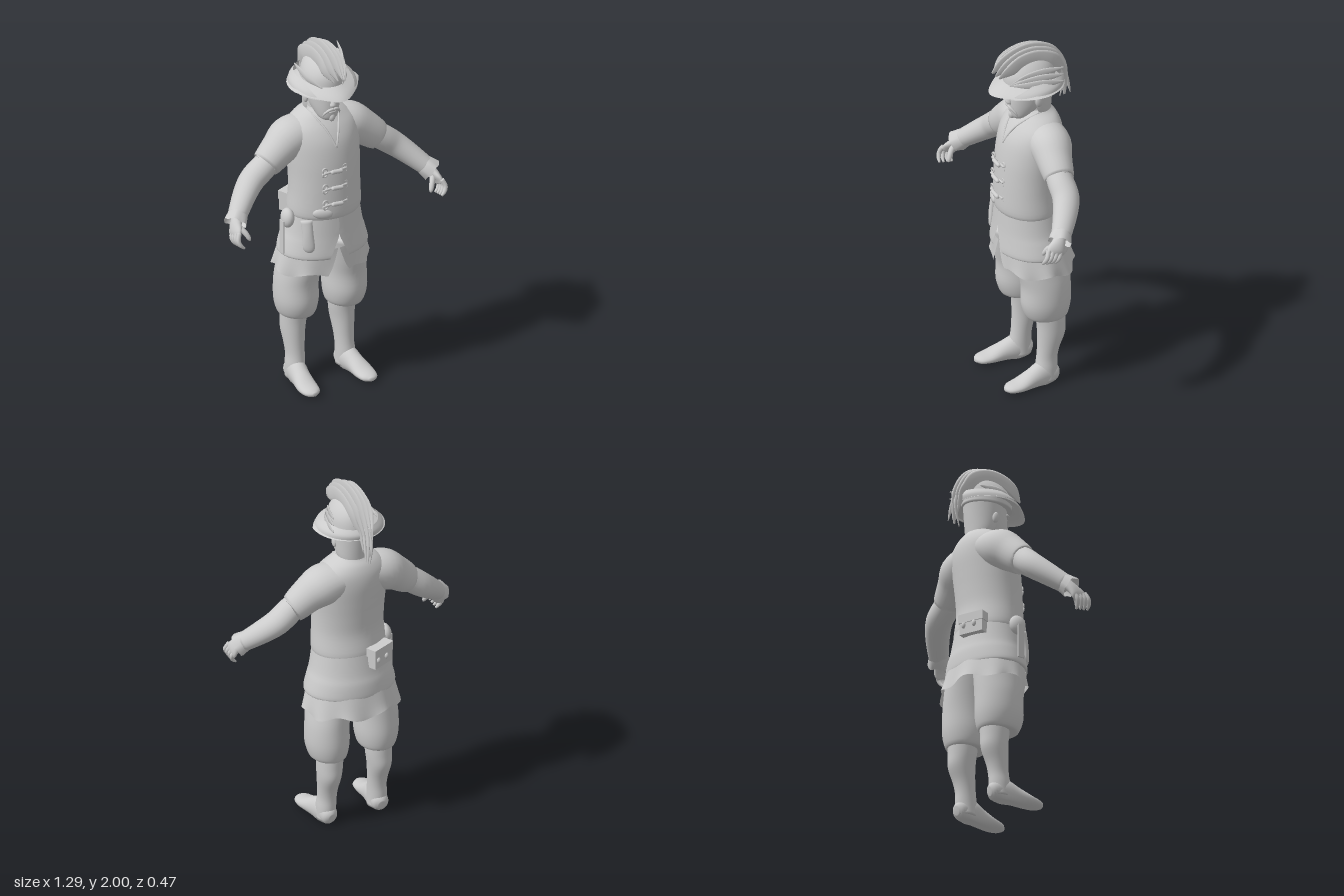
import * as THREE from 'three';
import { mergeVertices } from 'three/addons/utils/BufferGeometryUtils.js';

const clay = new THREE.MeshStandardMaterial({ color: 0xcccccc, side: THREE.DoubleSide });
clay.name = 'clay grey';

// Catmull-Rom blend of every column between the given rows
function smooth(rows, n) {
  const out = [];
  for (let i = 0; i < rows.length - 1; i++) {
    const [a, b, c, d] = [rows[Math.max(i - 1, 0)], rows[i], rows[i + 1], rows[Math.min(i + 2, rows.length - 1)]];
    for (let k = 0; k < n; k++) {
      const t = k / n;
      out.push(b.map((_, j) => b[j] + 0.5 * t * (c[j] - a[j] + t * (2 * a[j] - 5 * b[j] + 4 * c[j] - d[j] + t * (3 * (b[j] - c[j]) + d[j] - a[j])))));
    }
  }
  out.push(rows[rows.length - 1]);
  return out;
}

// Skin through elliptical rings; row = [x, y, z, radiusU, radiusV, frontGapAngle]
function loft(rows, { upright = false, ref = [1, 0, 0], seg = 24, steps = 4, caps = true, rule = null } = {}) {
  const R = smooth(rows, steps), pos = [], idx = [], W = seg + 1;
  const at = i => new THREE.Vector3(...R[Math.min(Math.max(i, 0), R.length - 1)].slice(0, 3));
  R.forEach((r, i) => {
    const t = upright ? new THREE.Vector3(0, 1, 0) : at(i + 1).sub(at(i - 1)).normalize();
    const u = new THREE.Vector3(...ref);
    u.addScaledVector(t, -u.dot(t)).normalize();
    const v = new THREE.Vector3().crossVectors(u, t), gap = r[5] || 0;
    for (let j = 0; j <= seg; j++) {
      const a = Math.PI / 2 + gap + (j / seg) * (2 * Math.PI - 2 * gap);
      const p = at(i).addScaledVector(u, r[3] * Math.cos(a)).addScaledVector(v, r[4] * Math.sin(a));
      if (rule) rule(p, a, i / (R.length - 1));
      pos.push(p.x, p.y, p.z);
    }
  });
  for (let i = 0; i < R.length - 1; i++) for (let j = 0; j < seg; j++) {
    const a = i * W + j, b = a + W;
    idx.push(a, b, a + 1, a + 1, b, b + 1);
  }
  if (caps) [0, R.length - 1].forEach((i, end) => {
    const c = pos.length / 3;
    pos.push(...R[i].slice(0, 3));
    for (let j = 0; j < seg; j++) end ? idx.push(c, i * W + j + 1, i * W + j) : idx.push(c, j, j + 1);
  });
  let g = new THREE.BufferGeometry();
  g.setAttribute('position', new THREE.Float32BufferAttribute(pos, 3));
  g.setIndex(idx);
  g = mergeVertices(g, 1e-5);
  g.computeVertexNormals();
  return g;
}

export function createModel() {
  const model = new THREE.Group();
  const add = (name, geo, p = [0, 0, 0], r = [0, 0, 0], s = [1, 1, 1]) => {
    const m = new THREE.Mesh(geo, clay);
    m.name = name;
    m.position.set(...p); m.rotation.set(...r); m.scale.set(...s);
    model.add(m);
    return m;
  };
  const ball = new THREE.SphereGeometry(1, 20, 14);
  const up = { upright: true, seg: 40 };

  // Jacket body, flared skirt with a front slit, and the shirt hem below it
  add('jacketBody', loft([[0, 1.01, 0.015, 0.195, 0.16], [0, 1.04, 0.018, 0.206, 0.174], [0, 1.15, 0.025, 0.2, 0.166],
    [0, 1.25, 0.02, 0.2, 0.166], [0, 1.35, 0.01, 0.205, 0.166], [0, 1.45, -0.005, 0.208, 0.16], [0, 1.52, -0.02, 0.2, 0.14],
    [0, 1.57, -0.03, 0.15, 0.112], [0, 1.6, -0.03, 0.1, 0.088], [0, 1.615, -0.03, 0.082, 0.078]], up));
  add('jacketSkirt', loft([[0, 0.785, 0.003, 0.245, 0.19, 0.23], [0, 0.8, 0.003, 0.256, 0.198, 0.21], [0, 0.87, 0.003, 0.238, 0.192, 0.09],
    [0, 0.93, 0.008, 0.219, 0.182, 0], [0, 1.05, 0.015, 0.198, 0.168, 0]], { ...up, caps: false }));
  add('shirtHem', loft([[0, 0.69, -0.015, 0.27, 0.21, 0.25], [0, 0.74, -0.01, 0.26, 0.2, 0.15], [0, 0.84, 0, 0.235, 0.185, 0.02]],
    { ...up, seg: 64, caps: false, rule: (p, a, t) => {
      const k = 1 + 0.035 * (1 - t) * Math.sin(9 * a);
      p.x *= k; p.z *= k; p.y += 0.014 * (1 - t) * Math.sin(6 * a + 1);
    } }));

  for (const s of [1, -1]) {
    const side = s > 0 ? 'left' : 'right';
    const m = rows => rows.map(([x, ...rest]) => [x * s, ...rest]);
    const along = { ref: [0, 0, 1] };

    // Breeches, boots and feet
    add(side + 'Breeches', loft(m([[0.145, 0.405, -0.03, 0.07, 0.085], [0.145, 0.412, -0.025, 0.098, 0.115], [0.147, 0.49, -0.02, 0.116, 0.137],
      [0.146, 0.6, -0.02, 0.115, 0.138], [0.135, 0.7, -0.01, 0.112, 0.148], [0.115, 0.84, 0, 0.112, 0.155]]), up));
    add(side + 'Boot', loft(m([[0.153, 0.02, -0.02, 0.053, 0.06], [0.153, 0.09, -0.02, 0.053, 0.062], [0.15, 0.15, -0.025, 0.051, 0.058],
      [0.15, 0.21, -0.034, 0.055, 0.062], [0.15, 0.29, -0.05, 0.064, 0.077], [0.147, 0.36, -0.05, 0.07, 0.08], [0.145, 0.43, -0.045, 0.072, 0.086]]), up));
    add(side + 'Foot', loft(m([[0.15, 0.04, -0.086, 0.02, 0.025], [0.152, 0.045, -0.065, 0.045, 0.05], [0.156, 0.055, 0.0, 0.053, 0.075],
      [0.165, 0.045, 0.07, 0.052, 0.055], [0.173, 0.03, 0.15, 0.057, 0.033], [0.174, 0.025, 0.21, 0.045, 0.022], [0.172, 0.025, 0.237, 0.014, 0.01]]),
      { rule: p => { p.y = Math.max(p.y, 0); } }));

    // Sleeve, forearm and flared cuff
    add(side + 'Sleeve', loft(m([[0.08, 1.485, -0.035, 0.11, 0.09], [0.18, 1.455, -0.03, 0.115, 0.112], [0.26, 1.405, -0.015, 0.096, 0.096],
      [0.335, 1.345, -0.005, 0.08, 0.081], [0.33, 1.35, -0.005, 0.066, 0.066]]), along));
    add(side + 'Forearm', loft(m([[0.28, 1.39, -0.005, 0.065, 0.065], [0.36, 1.33, 0, 0.072, 0.07], [0.43, 1.275, 0.005, 0.073, 0.067],
      [0.5, 1.215, 0.045, 0.066, 0.06], [0.58, 1.14, 0.11, 0.053, 0.05]]), along));
    add(side + 'Cuff', loft(m([[0.56, 1.16, 0.095, 0.05, 0.05], [0.58, 1.14, 0.112, 0.058, 0.055], [0.6, 1.12, 0.128, 0.064, 0.058]]),
      { ...along, caps: false, rule: (p, a, t) => { p.y += 0.006 * t * Math.sin(5 * a); } }));

    // Hand with curled fingers
    add(side + 'Palm', loft(m([[0.58, 1.14, 0.115, 0.03, 0.03], [0.6, 1.115, 0.135, 0.038, 0.026], [0.615, 1.085, 0.158, 0.05, 0.02],
      [0.62, 1.06, 0.172, 0.045, 0.013]]), along));
    for (let i = 0; i < 4; i++) {
      const z = 0.13 + 0.024 * i, y = 0.004 * i;
      add(side + 'Finger' + (i + 1), loft(m([[0.616, 1.085 + y, z, 0.013, 0.013], [0.63, 1.05 + y, z + 0.014, 0.013, 0.013],
        [0.62, 1.022 + y, z + 0.024, 0.011, 0.011], [0.6, 1.003 + y, z + 0.028, 0.006, 0.006]]), { ...along, seg: 10 }));
    }
    add(side + 'Thumb', loft(m([[0.595, 1.11, 0.145, 0.016, 0.016], [0.57, 1.08, 0.18, 0.015, 0.015], [0.555, 1.05, 0.197, 0.012, 0.012],
      [0.55, 1.035, 0.2, 0.005, 0.005]]), { ...along, seg: 10 }));

    // Neckline trim, ear, brow, eye and moustache
    add(side + 'NecklineTrim', loft(m([[0.083, 1.612, -0.02, 0.006, 0.006], [0.072, 1.585, 0.047, 0.006, 0.006], [0.045, 1.54, 0.102, 0.006, 0.006],
      [0.022, 1.49, 0.136, 0.006, 0.006], [0, 1.43, 0.16, 0.006, 0.006]]), { seg: 8 }));
    add(side + 'Ear', ball, [0.096 * s, 1.685, -0.005], [0.2, 0, 0], [0.012, 0.032, 0.02]);
    add(side + 'Brow', ball, [0.036 * s, 1.737, 0.108], [0, 0.3 * s, 0.1 * s], [0.028, 0.009, 0.014]);
    add(side + 'Eye', ball, [0.035 * s, 1.715, 0.103], [0, 0, 0], [0.014, 0.009, 0.011]);
    add(side + 'Moustache', loft(m([[0.002, 1.65, 0.131, 0.007, 0.007], [0.025, 1.645, 0.126, 0.008, 0.007], [0.045, 1.62, 0.108, 0.006, 0.006],
      [0.05, 1.6, 0.098, 0.002, 0.002]]), { ...along, seg: 8 }));
  }

  // Head, neck, hair, nose and beard
  add('neck', loft([[0, 1.55, -0.04, 0.075, 0.072], [0, 1.66, -0.035, 0.07, 0.072]], up));
  add('head', loft([[0, 1.568, 0.065, 0.03, 0.03], [0, 1.585, 0.055, 0.052, 0.058], [0, 1.62, 0.035, 0.068, 0.086], [0, 1.67, 0.01, 0.082, 0.114],
    [0, 1.74, 0, 0.09, 0.121], [0, 1.82, -0.005, 0.088, 0.12], [0, 1.88, -0.005, 0.045, 0.06]], up));
  add('hair', loft([[0, 1.585, -0.045, 0.078, 0.068, 1.3], [0, 1.62, -0.03, 0.09, 0.086, 1.3], [0, 1.69, -0.015, 0.097, 0.108, 1.25],
    [0, 1.79, -0.01, 0.1, 0.122, 1.0]], { ...up, caps: false }));
  add('nose', loft([[0, 1.66, 0.115, 0.018, 0.012], [0, 1.672, 0.125, 0.02, 0.02], [0, 1.7, 0.12, 0.011, 0.018], [0, 1.735, 0.11, 0.008, 0.012]],
    { upright: true, seg: 12 }));
  add('mouth', ball, [0, 1.627, 0.117], [0, 0, 0], [0.022, 0.006, 0.008]);
  add('beard', ball, [0, 1.592, 0.107], [0, 0, 0], [0.018, 0.026, 0.018]);

  // Hat: crown, pointed brim and turned-up back edge
  add('hatCrown', loft([[0, 1.765, 0.005, 0.115, 0.145], [0, 1.83, 0.005, 0.108, 0.142], [0, 1.88, 0, 0.085, 0.125], [0, 1.92, -0.005, 0.05, 0.085],
    [0, 1.935, -0.005, 0.015, 0.03]], up));
  add('hatBrim', loft([[0, 1.752, 0.02, 0.197, 0.205], [0, 1.764, 0.015, 0.17, 0.185], [0, 1.785, 0.005, 0.11, 0.14]],
    { ...up, caps: false, rule: (p, a, t) => {
      if (p.z > 0.05) p.x *= 1 - 1.8 * (p.z - 0.05);
      p.z += p.z > 0 ? 0.012 * (1 - t) * Math.pow(Math.max(Math.sin(a), 0), 6) : 0;
      p.y += 0.012 - 0.11 * Math.max(p.z - 0.05, 0) * (1 - t);
    } }));
  add('turnedUpBrim', loft([[0, 1.762, 0.01, 0.185, 0.19, 0.6], [0, 1.79, 0, 0.175, 0.185, 0.8], [0, 1.82, -0.005, 0.145, 0.165, 1.2]],
    { ...up, caps: false, rule: p => { p.y -= 0.1 * Math.max(p.z, 0); } }));

  // Crest of arching plumes with a drooping tail
  [-0.058, -0.03, 0, 0.028, 0.052].forEach((x, i) => {
    const d = Math.abs(i - 2) * 0.012, k = 1 - Math.abs(i - 2) * 0.06;
    add('crestPlume' + (i + 1), loft([[x * 0.6, 1.87 - d, 0.225 * k, 0.002, 0.006], [x, 1.915 - d, 0.16 * k, 0.005, 0.036], [x, 1.952 - d, 0.07, 0.006, 0.042],
      [x, 1.955 - d, -0.02, 0.006, 0.044], [x, 1.92 - d, -0.11, 0.006, 0.042], [x * 0.8, 1.84, -0.175 * k, 0.005, 0.034],
      [x * 0.6, 1.75 + d * 2, -0.203 * k, 0.004, 0.024], [x * 0.5, 1.63 + d * 3, -0.205, 0.002, 0.005]], { seg: 8 }));
  });
  for (let i = 0; i < 3; i++) add('tailStrand' + (i + 1), loft([[0.015 * (i - 1), 1.83, -0.18, 0.004, 0.015], [0.02 * (i - 1), 1.73, -0.212, 0.006, 0.012],
    [0.022 * (i - 1), 1.61 + 0.02 * i, -0.19 - 0.02 * i, 0.002, 0.003]], { seg: 8 }));

  // Side plumes sweeping back from the brim
  for (let i = 0; i < 3; i++) {
    const d = 0.032 * i;
    add('leftPlume' + (i + 1), loft([[0.045, 1.79, 0.14, 0.003, 0.006], [0.09 + d * 0.3, 1.845 - d * 0.6, 0.07, 0.005, 0.022],
      [0.13 + d * 0.2, 1.88 - d, -0.02, 0.005, 0.024], [0.16, 1.9 - d * 1.3, -0.12, 0.002, 0.004]], { seg: 8 }));
  }
  add('rightPlume', loft([[-0.07, 1.79, 0.13, 0.003, 0.006], [-0.11, 1.82, 0.06, 0.005, 0.018], [-0.115, 1.835, -0.02, 0.005, 0.02],
    [-0.105, 1.84, -0.11, 0.002, 0.004]], { seg: 8 }));

  // Toggle fastenings down the chest
  [[1.305, 0.182], [1.21, 0.188], [1.115, 0.19]].forEach(([y, z], i) => {
    const n = 'toggle' + (i + 1);
    add(n + 'Peg', new THREE.CapsuleGeometry(0.012, 0.05, 4, 12), [-0.015, y, z + 0.008], [0, 0, 1.5]);
    add(n + 'Cord', new THREE.CapsuleGeometry(0.007, 0.13, 4, 8), [-0.02, y, z - 0.003], [0, 0, 1.62]);
    for (const [x, dy] of [[-0.08, 0.012], [-0.08, -0.012], [0.04, 0.01], [0.04, -0.01]])
      add(n + 'Loop', new THREE.TorusGeometry(0.013, 0.005, 8, 16), [x, y + dy, z - 0.008]);
  });

  // Waist gear: buckle flap, sheath, hip pouch, hanging strap and back pouch
  add('buckleFlap', ball, [-0.09, 1.06, 0.17], [0, -0.35, -0.1], [0.055, 0.03, 0.018]);
  add('sheath', loft([[-0.158, 0.835, 0.14, 0.012, 0.01], [-0.16, 0.86, 0.145, 0.032, 0.017], [-0.162, 0.94, 0.138, 0.03, 0.02],
    [-0.165, 1.02, 0.125, 0.032, 0.018]], { ref: [0.8, 0, 0.6] }));
  add('hipPouch', ball, [-0.232, 1.015, 0.04], [0, 0, -0.1], [0.034, 0.055, 0.048]);
  add('hangingStrap', new THREE.BoxGeometry(0.008, 0.19, 0.04), [-0.264, 0.91, 0.04]);
  const back = [-0.1, 1.015, -0.155], turn = [0, 0.4, 0];
  add('backPouch', new THREE.BoxGeometry(0.14, 0.11, 0.05), back, turn);
  add('backPouchFlap', new THREE.BoxGeometry(0.15, 0.05, 0.06), [back[0], 1.05, back[2]], turn);
  for (const x of [-0.03, 0.03]) add('backPouchButton', ball, [back[0] + x, 1.01, -0.184 + x * -0.42], turn, [0.012, 0.018, 0.012]);
  return model;
}
